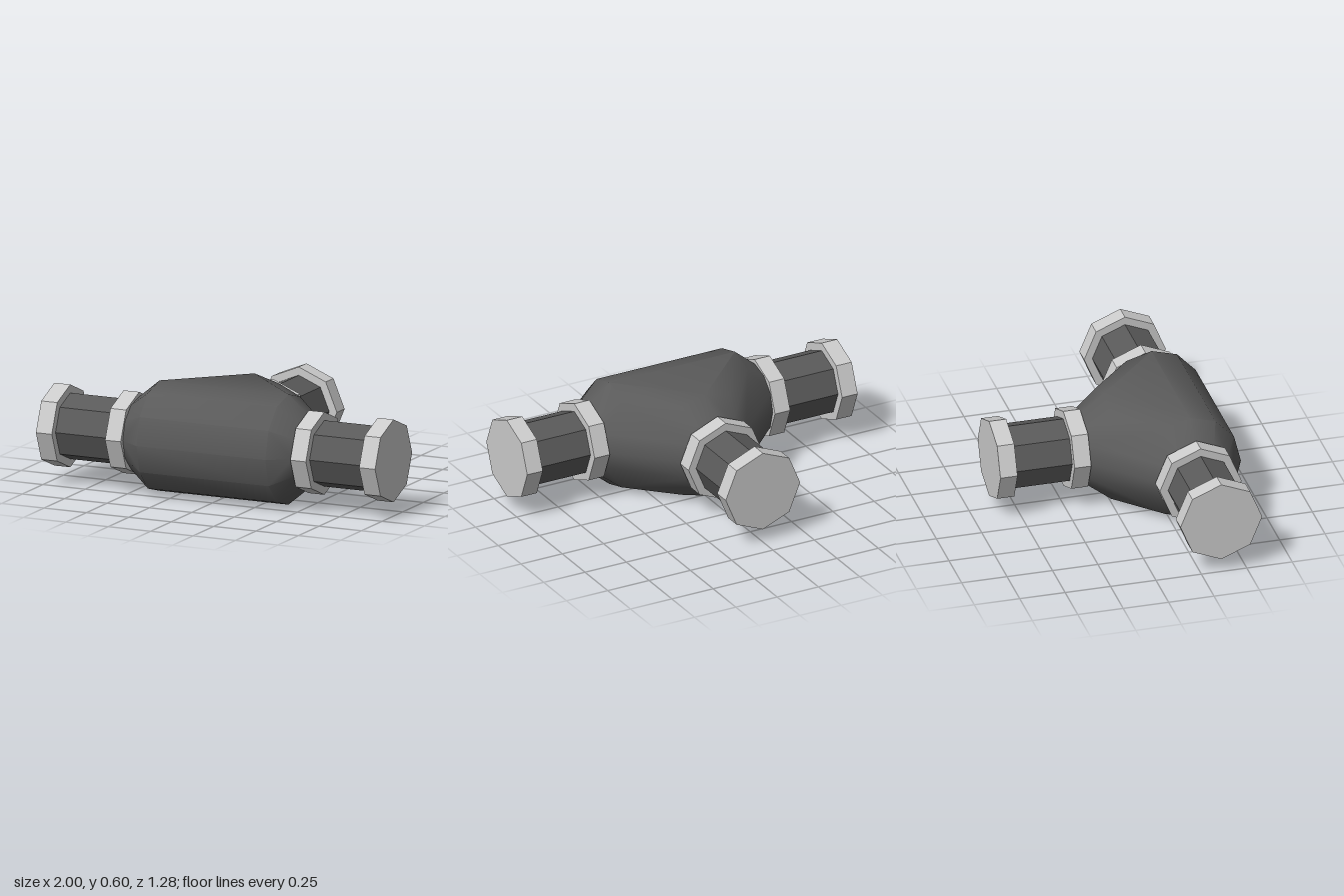
import * as THREE from 'three';
import { toCreasedNormals } from 'three/addons/utils/BufferGeometryUtils.js';
import { ConvexGeometry } from 'three/addons/geometries/ConvexGeometry.js';

const AXIS_Y = 0.3;  // height of every pipe axis
const RUN_Z = 0.36;  // depth of the straight run

const light = new THREE.MeshStandardMaterial({ color: 0xcccccc, flatShading: true });
const dark = new THREE.MeshStandardMaterial({ color: 0x5a5a5a, flatShading: true });
const darkSmooth = new THREE.MeshStandardMaterial({ color: 0x5a5a5a });

function add(parent, name, geometry, material) {
  const mesh = new THREE.Mesh(geometry, material);
  mesh.name = name;
  parent.add(mesh);
}

// Octagonal pipe with two collars, running along +y from the given start
function branch(name, start) {
  const group = new THREE.Group();
  group.name = name;
  const piece = (part, radius, from, to, material) => {
    const geometry = new THREE.CylinderGeometry(radius, radius, to - from, 8);
    geometry.translate(0, start + (from + to) / 2, 0);
    add(group, part, geometry, material);
  };
  piece('innerCollar', 0.225, 0, 0.092, light);
  piece('pipe', 0.18, 0.05, 0.45, dark);
  piece('outerCollar', 0.225, 0.406, 0.5, light);
  return group;
}

// Swollen body: a skin stretched over the rings of the run and of the neck
function bodyGeometry() {
  const points = [];
  for (let i = 0; i < 12; i++) {
    const c = Math.cos((i * Math.PI) / 6);
    const s = Math.sin((i * Math.PI) / 6);
    for (const side of [-1, 1]) {
      points.push(new THREE.Vector3(side * 0.38, AXIS_Y + 0.3 * s, RUN_Z + 0.28 * c));
      points.push(new THREE.Vector3(side * 0.5, AXIS_Y + 0.2 * s, RUN_Z + 0.2 * c));
    }
    points.push(new THREE.Vector3(0.29 * c, AXIS_Y + 0.3 * s, -0.01));
    points.push(new THREE.Vector3(0.2 * c, AXIS_Y + 0.2 * s, -0.14));
  }
  return toCreasedNormals(new ConvexGeometry(points), 0.7);
}

export function createModel() {
  const model = new THREE.Group();
  model.name = 'teeFitting';

  add(model, 'body', bodyGeometry(), darkSmooth);

  // Three branches: left, right and back
  for (const [name, side] of [['leftBranch', 1], ['rightBranch', -1]]) {
    const arm = branch(name, 0.5);
    arm.rotation.z = (-side * Math.PI) / 2;
    arm.position.set(0, AXIS_Y, RUN_Z);
    model.add(arm);
  }
  const back = branch('backBranch', 0.14);
  back.rotation.x = -Math.PI / 2;
  back.position.set(0, AXIS_Y, 0);
  model.add(back);

  return model;
}
